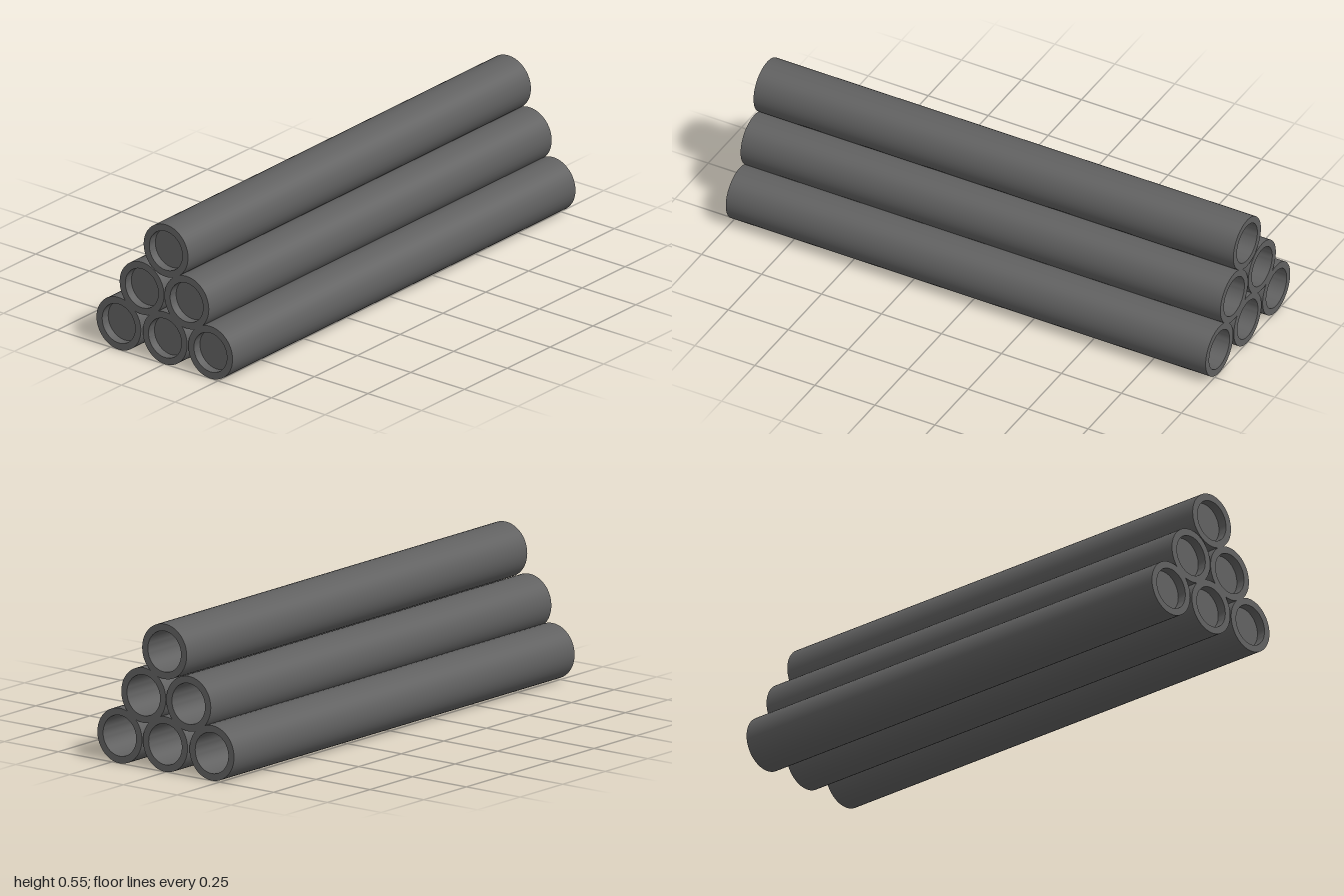
import * as THREE from 'three';
import { toCreasedNormals } from 'three/addons/utils/BufferGeometryUtils.js';

const OUTER = 0.1035, INNER = 0.077, HALF = 1;
const PLUG = -0.965; // thin wall recessed just inside the -x end

// Pipe wall and plug as one closed profile, turned to lie along x
function pipeGeometry() {
  const profile = [
    [0, PLUG], [INNER, PLUG], [INNER, -HALF], [OUTER, -HALF],
    [OUTER, HALF], [INNER, HALF], [INNER, PLUG + 0.005], [0, PLUG + 0.005],
  ].map(([r, y]) => new THREE.Vector2(r, y));
  const geometry = new THREE.LatheGeometry(profile, 48);
  geometry.rotateZ(-Math.PI / 2);
  return toCreasedNormals(geometry, 0.6);
}

export function createModel() {
  const group = new THREE.Group();
  group.name = 'pipeStack';
  const material = new THREE.MeshStandardMaterial({ color: 0x606060 });
  const geometry = pipeGeometry();

  // Three rows of slightly uneven pipes, bottom to top
  const rows = [
    { name: 'bottomPipe', y: 0.1035, z: [0.215, 0.003, -0.213] },
    { name: 'middlePipe', y: 0.272, z: [0.104, -0.105] },
    { name: 'topPipe', y: 0.451, z: [0.007] },
  ];
  for (const row of rows) {
    row.z.forEach((z, i) => {
      const pipe = new THREE.Mesh(geometry, material);
      pipe.name = row.name + (i + 1);
      pipe.position.set(0, row.y, z);
      group.add(pipe);
    });
  }
  return group;
}
